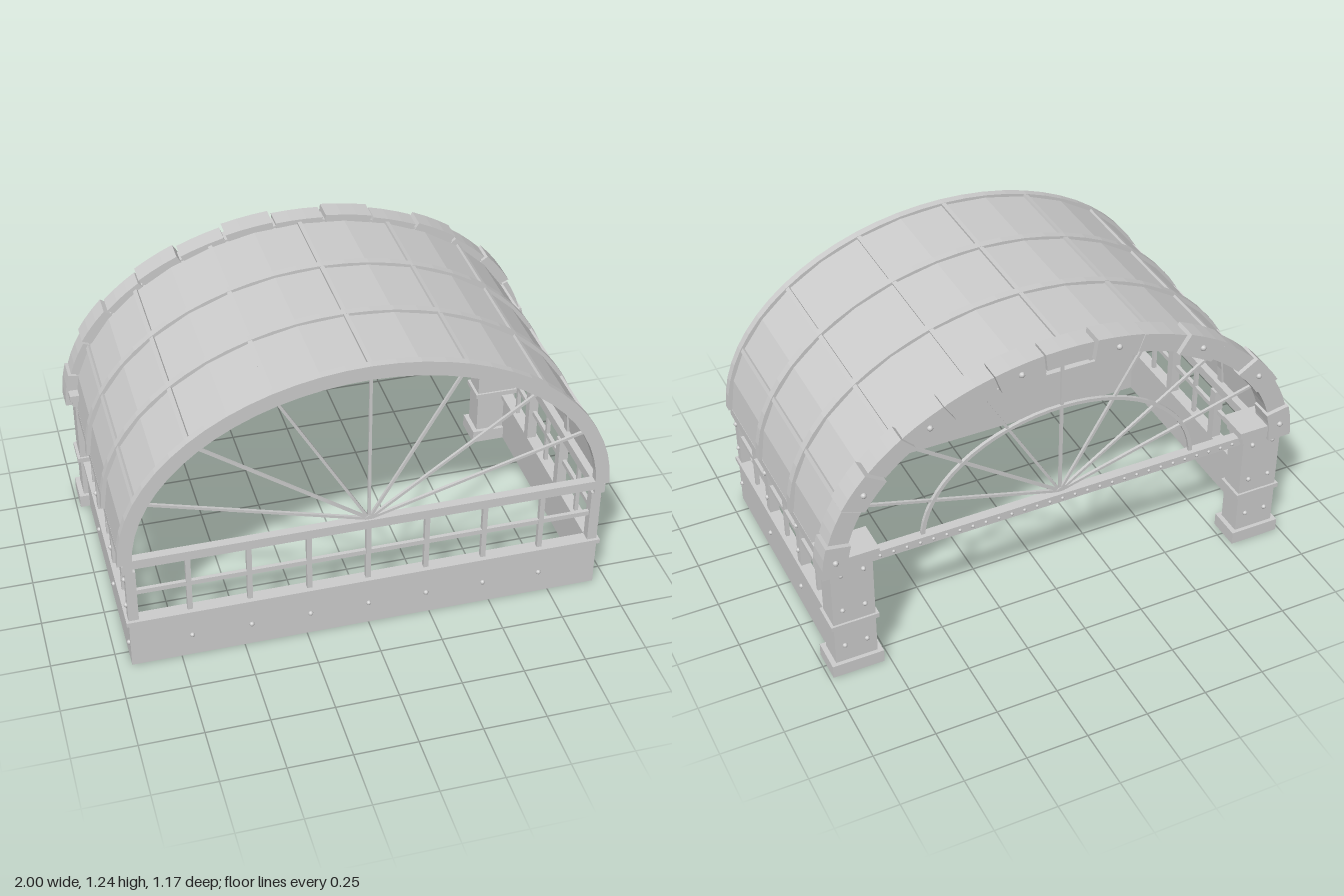
import * as THREE from 'three';

export function createModel() {
  const model = new THREE.Group();
  const stone = new THREE.MeshStandardMaterial({ color: 0xcccccc });
  stone.name = 'pale grey';
  const BASE = 0.5; // springing height of the vault

  const add = (name, geo, x = 0, y = 0, z = 0) => {
    const m = new THREE.Mesh(geo, stone);
    m.name = name;
    m.position.set(x, y, z);
    model.add(m);
    return m;
  };
  // Box given by its limits on each axis
  const box = (name, x0, x1, y0, y1, z0, z1) =>
    add(name, new THREE.BoxGeometry(Math.abs(x1 - x0), y1 - y0, z1 - z0), (x0 + x1) / 2, (y0 + y1) / 2, (z0 + z1) / 2);
  const bolt = (name, x, y, z, r = 0.01) => add(name, new THREE.SphereGeometry(r, 10, 8), x, y, z);
  const rad = THREE.MathUtils.degToRad;

  // Elliptical band between inner and outer radii, swept along z
  const band = (name, inner, outer, z0, z1, segs, from = 0, to = 180) => {
    const pts = [];
    for (let i = 0; i <= segs; i++) {
      const a = rad(from + ((to - from) * i) / segs);
      pts.push(new THREE.Vector2(outer[0] * Math.cos(a), outer[1] * Math.sin(a)));
    }
    for (let i = segs; i >= 0; i--) {
      const a = rad(from + ((to - from) * i) / segs);
      pts.push(new THREE.Vector2(inner[0] * Math.cos(a), inner[1] * Math.sin(a)));
    }
    const geo = new THREE.ExtrudeGeometry(new THREE.Shape(pts), { depth: z1 - z0, bevelEnabled: false });
    return add(name, geo, 0, BASE, z0);
  };

  // Vaulted roof, its ribs and the front arch
  band('roofShell', [0.943, 0.703], [0.957, 0.717], -0.5, 0.56, 16);
  band('frontArch', [0.915, 0.668], [0.972, 0.727], 0.545, 0.577, 32);
  band('backArch', [0.915, 0.668], [0.965, 0.722], -0.55, -0.485, 32);
  for (const z of [0.205, -0.145]) band('roofRib', [0.932, 0.692], [0.972, 0.727], z - 0.016, z + 0.016, 32);

  // Purlins along the roof
  for (let k = 1; k < 8; k++) {
    const a = rad(k * 22.5);
    const p = add('purlin', new THREE.BoxGeometry(0.018, 0.016, 1.04), 0.958 * Math.cos(a), BASE + 0.718 * Math.sin(a), 0.04);
    p.rotation.z = Math.atan2(0.96 * Math.sin(a), 0.72 * Math.cos(a)) - Math.PI / 2;
  }

  // Arch stones at the back, alternately proud and recessed
  for (let k = 0; k < 15; k++) {
    const proud = k % 2 === 0;
    const outer = proud ? [1.0, 0.744] : [0.99, 0.736];
    const inner = proud ? [0.9, 0.655] : [0.908, 0.663];
    band('archStone', inner, outer, proud ? -0.575 : -0.566, -0.48, 3, k * 12 + 0.35, k * 12 + 11.65);
    if (proud) {
      const a = rad(k * 12 + 6);
      bolt('archBolt', 0.95 * Math.cos(a), BASE + 0.7 * Math.sin(a), -0.575, 0.012);
    }
  }

  // Fan tracery in both arch openings
  for (const [z, cy] of [[0.56, 0.515], [-0.51, 0.525]]) {
    for (let k = 1; k < 8; k++) {
      const a = rad(k * 22.5);
      const x = 0.925 * Math.cos(a), y = BASE + 0.68 * Math.sin(a) - cy;
      const bar = add('fanSpoke', new THREE.BoxGeometry(0.011, Math.hypot(x, y), 0.011), x / 2, cy + y / 2, z);
      bar.rotation.z = Math.atan2(y, x) - Math.PI / 2;
    }
    add('fanHub', new THREE.CylinderGeometry(0.018, 0.018, 0.016, 16).rotateX(Math.PI / 2), 0, cy, z);
  }
  band('fanRing', [0.567, 0.427], [0.583, 0.441], -0.518, -0.504, 32);

  // Low base walls and sills on the front and both sides
  box('frontWall', -0.945, 0.945, 0, 0.205, 0.545, 0.575);
  box('frontSill', -0.955, 0.955, 0.203, 0.222, 0.53, 0.585);
  // Front railing
  box('frontBeam', -0.95, 0.95, 0.476, 0.516, 0.54, 0.576);
  box('frontMidRail', -0.93, 0.93, 0.34, 0.36, 0.547, 0.563);
  for (let k = -3; k <= 3; k++) {
    const x = k * 0.235;
    box('frontBar', x - 0.01, x + 0.01, 0.22, 0.478, 0.545, 0.565);
    bolt('frontWallBolt', x, 0.1, 0.576);
  }
  // Beam across the back, with small studs
  box('backBeam', -0.93, 0.93, 0.488, 0.526, -0.535, -0.495);
  for (let k = -14; k <= 14; k++) bolt('backBeamStud', k * 0.054, 0.506, -0.535, 0.007);

  for (const s of [1, -1]) {
    // Side wall, sill and railing
    box('sideWall', s * 0.915, s * 0.945, 0, 0.205, -0.47, 0.575);
    box('sideSill', s * 0.905, s * 0.955, 0.203, 0.222, -0.47, 0.585);
    box('sideBeam', s * 0.915, s * 0.957, 0.455, 0.496, -0.47, 0.576);
    box('sideMidRail', s * 0.922, s * 0.938, 0.34, 0.36, -0.47, 0.56);
    for (const z of [0.38, 0.03, -0.315]) box('sideBar', s * 0.922, s * 0.938, 0.22, 0.458, z - 0.008, z + 0.008);
    for (const z of [0.553, 0.205, -0.145]) {
      box('sidePost', s * 0.905, s * 0.945, 0.22, 0.458, z - 0.019, z + 0.019);
      for (const y of [0.29, 0.415]) bolt('sidePostBolt', s * 0.946, y, z);
      bolt('sideWallBolt', s * 0.946, 0.1, z);
    }
    // Back pier with foot, collar and cap
    box('pier', s * 0.795, s * 0.965, 0, 0.55, -0.557, -0.452);
    box('pierFoot', s * 0.775, s * 0.985, 0, 0.056, -0.573, -0.435);
    box('pierCollar', s * 0.783, s * 0.977, 0.23, 0.25, -0.566, -0.443);
    box('pierNeck', s * 0.785, s * 0.975, 0.515, 0.55, -0.563, -0.446);
    box('pierCap', s * 0.77, s * 0.985, 0.548, 0.576, -0.57, -0.435);
    for (const y of [0.135, 0.315, 0.495])
      for (const x of [0.835, 0.925]) bolt('pierBolt', s * x, y, y > 0.4 ? -0.563 : -0.558);
  }
  return model;
}
